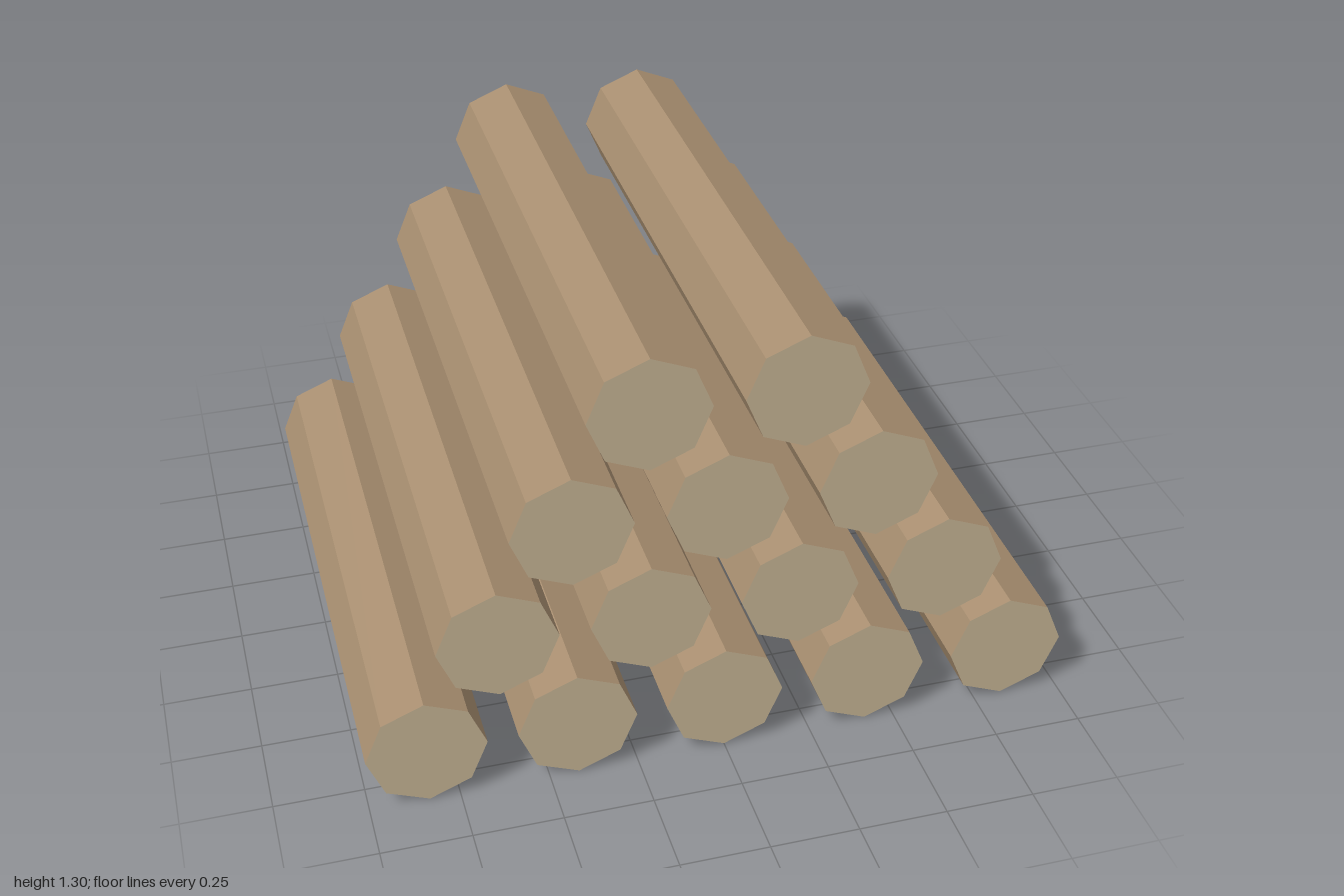
import * as THREE from 'three';

const RADIUS = 0.166, LENGTH = 1.664;
const SPACING = 0.417, ROW_SHIFT = 0.206, ROW_RISE = 0.3235;

export function createModel() {
  const model = new THREE.Group();
  model.name = 'logPile';

  const bark = new THREE.MeshStandardMaterial({ color: 0xa88e70, flatShading: true });
  bark.name = 'bark';
  const cutWood = new THREE.MeshStandardMaterial({ color: 0xc8b696, flatShading: true });
  cutWood.name = 'cut wood';

  // Eight-sided log lying along z, corners at top, bottom and sides
  const logShape = new THREE.CylinderGeometry(RADIUS, RADIUS, LENGTH, 8);
  logShape.rotateX(Math.PI / 2);

  // Rows of 5, 4, 3 and 2 logs, each resting above the gaps of the row below
  for (let row = 0; row < 4; row++) {
    const layer = new THREE.Group();
    layer.name = `logRow${row + 1}`;
    for (let i = 0; i < 5 - row; i++) {
      const log = new THREE.Mesh(logShape, [bark, cutWood, cutWood]);
      log.name = `log${row + 1}_${i + 1}`;
      log.position.set(
        -2 * SPACING + row * ROW_SHIFT + i * SPACING,
        RADIUS + row * ROW_RISE,
        0
      );
      layer.add(log);
    }
    model.add(layer);
  }
  return model;
}
